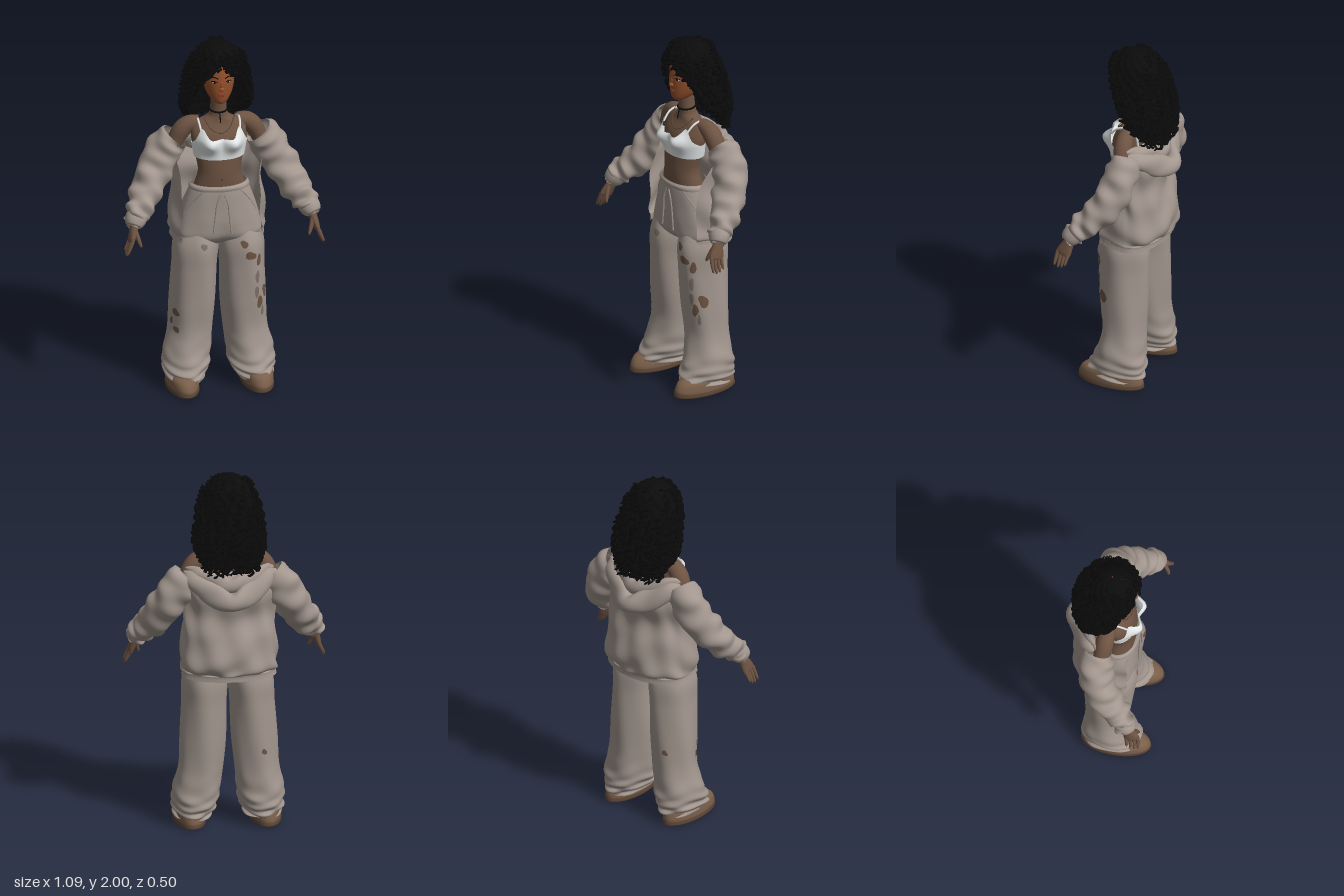
import * as THREE from 'three';
import { mergeGeometries } from 'three/addons/utils/BufferGeometryUtils.js';

const { sin, cos, PI, min, max, floor, abs, exp } = Math;
const V = (x, y, z) => new THREE.Vector3(x, y, z);
const mat = (name, color) => {
  const m = new THREE.MeshStandardMaterial({ color, side: THREE.DoubleSide });
  m.name = name;
  return m;
};

// Smooth interpolation through rows of numbers
function sample(keys, v) {
  const n = keys.length - 1, s = min(max(v, 0), 1) * n, i = min(floor(s), n - 1), t = s - i;
  const [a, b, c, d] = [keys[max(i - 1, 0)], keys[i], keys[i + 1], keys[min(i + 2, n)]];
  return b.map((q, k) => q + 0.5 * t * (c[k] - a[k] + t * (2 * a[k] - 5 * q + 4 * c[k] - d[k]
    + t * (3 * (q - c[k]) + d[k] - a[k]))));
}

// Surface from a rule fn(u, v) -> Vector3, optionally closed around u
function surface(fn, nu, nv, closed = true) {
  const pos = [], idx = [], w = closed ? nu : nu + 1;
  for (let j = 0; j <= nv; j++) for (let i = 0; i < w; i++) pos.push(...fn(i / nu, j / nv).toArray());
  for (let j = 0; j < nv; j++) for (let i = 0; i < nu; i++) {
    const a = j * w + i, b = j * w + (i + 1) % w;
    idx.push(a, b, a + w, b, b + w, a + w);
  }
  const g = new THREE.BufferGeometry();
  g.setAttribute('position', new THREE.Float32BufferAttribute(pos, 3));
  g.setIndex(idx);
  g.computeVertexNormals();
  return g;
}

// Rule for elliptical rings along rows of [x, y, z, radiusA, radiusB]
function rings(keys, { upright = false, folds = () => 0 } = {}) {
  return (u, v, off = 0) => {
    const [x, y, z, ra, rb] = sample(keys, v), a = u * 2 * PI;
    const p = sample(keys, v - 0.02), q = sample(keys, v + 0.02);
    const T = upright ? V(0, -1, 0) : V(q[0] - p[0], q[1] - p[1], q[2] - p[2]).normalize();
    const A = V(0, 0, 1).cross(T).normalize(), B = T.clone().cross(A), o = off + folds(a, v);
    return V(x, y, z).addScaledVector(A, (ra + o) * cos(a)).addScaledVector(B, (rb + o) * sin(a));
  };
}
const mirror = (keys, s) => keys.map(([x, ...r]) => [x * s, ...r]);

export function createModel() {
  const root = new THREE.Group();
  root.name = 'figure';
  const M = {
    skin: mat('skin', 0x6d5342), face: mat('warm face skin', 0x94502c), cloth: mat('cloth', 0xa2968e),
    seam: mat('cloth shade', 0x7d7169), white: mat('white top', 0xe6eaea), shoe: mat('shoe brown', 0x7a5f4a),
    sole: mat('sole brown', 0x5c4535), hair: mat('black', 0x0b0b0b), lips: mat('lips', 0x8a3c2c),
  };
  const add = (name, geo, m) => {
    const mesh = new THREE.Mesh(geo, m);
    mesh.name = name;
    root.add(mesh);
    return mesh;
  };
  const ball = (name, m, x, y, z, rx, ry, rz) => {
    const b = add(name, new THREE.SphereGeometry(1, 18, 12), m);
    b.position.set(x, y, z);
    b.scale.set(rx, ry, rz);
    return b;
  };
  const cord = (name, m, pts, r) => add(name, new THREE.TubeGeometry(
    new THREE.CatmullRomCurve3(pts.map(p => V(...p))), 20, r, 6), m);

  // Torso with neck
  const torso = rings([[0, 1.69, .035, .043, .045], [0, 1.6, .025, .047, .046], [0, 1.565, .02, .07, .052],
    [0, 1.53, .02, .14, .06], [0, 1.47, .035, .152, .08], [0, 1.4, .045, .142, .085], [0, 1.33, .055, .126, .08],
    [0, 1.26, .058, .118, .08], [0, 1.18, .05, .14, .085], [0, 1.1, .035, .16, .09]], { upright: true });
  add('torso', surface(torso, 36, 36), M.skin);
  ball('navel', M.sole, 0, 1.235, .137, .005, .01, .004);

  // Head and face
  add('head', surface(rings([[0, 1.937, .03, .004, .004], [0, 1.925, .03, .04, .045], [0, 1.88, .03, .075, .085],
    [0, 1.81, .033, .085, .095], [0, 1.76, .036, .081, .092], [0, 1.715, .045, .066, .08], [0, 1.68, .06, .043, .058],
    [0, 1.665, .068, .022, .032], [0, 1.662, .068, .002, .002]], { upright: true }), 32, 30), M.face);
  ball('nose', M.face, 0, 1.762, .127, .016, .012, .015);
  ball('noseBridge', M.face, 0, 1.785, .122, .009, .028, .011);
  ball('upperLip', M.lips, 0, 1.731, .121, .022, .006, .01);
  ball('lowerLip', M.lips, 0, 1.721, .119, .019, .007, .011);
  for (const s of [-1, 1]) {
    ball('eye', M.white, s * .037, 1.8, .113, .013, .005, .007).rotation.y = s * .35;
    ball('iris', M.hair, s * .037, 1.8, .118, .007, .006, .004).rotation.y = s * .35;
    cord('eyelid', M.hair, [[s * .02, 1.802, .123], [s * .037, 1.808, .12], [s * .055, 1.804, .107]], .0025);
    cord('eyebrow', M.hair, [[s * .018, 1.823, .126], [s * .04, 1.832, .117], [s * .06, 1.823, .101]], .003);
  }

  // Hair: an inner mass open at the face, with coiled curls over it
  const hairKeys = [[.004, 1.997, 0, .004, .004, 0], [0, 1.987, 0, .055, .06, 0], [0, 1.94, 0, .108, .112, 0],
    [0, 1.875, -.005, .135, .132, 8], [0, 1.8, -.02, .156, .142, 36], [0, 1.7, -.045, .172, .138, 48],
    [0, 1.61, -.065, .17, .122, 64], [0, 1.52, -.1, .13, .085, 92]];
  const hairAt = (u, v, off) => {
    const [x, y, z, rx, rz, gap] = sample(hairKeys, v), g = gap * PI / 180;
    const a = PI / 2 + g + u * 2 * (PI - g);
    return V(x + (rx + off) * cos(a), y - max(v - 1, 0) * .5, z + (rz + off) * sin(a));
  };
  add('hairMass', surface((u, v) => hairAt(u, v, .006 * sin(u * 80) * sin(v * 40)), 72, 36, false), M.hair);
  let seed = 7;
  const rnd = () => (seed = (seed * 16807) % 2147483647) / 2147483647;
  const curls = [];
  for (let i = 0; i < 400; i++) {
    const u = rnd(), v = .08 + .85 * Math.sqrt(rnd()), len = .1 + rnd() * .1, ph = rnd() * 6, lift = .002 + rnd() * .02;
    const pts = [];
    for (let k = 0; k <= 14; k++) {
      const t = k / 14, w = ph + t * 15;
      pts.push(hairAt(u, v + t * len, lift).add(V(.012 * cos(w), .004 * sin(w * 2), .012 * sin(w))));
    }
    curls.push(new THREE.TubeGeometry(new THREE.CatmullRomCurve3(pts), 16, .004 + rnd() * .004, 4));
  }
  add('curls', mergeGeometries(curls), M.hair);

  // Cropped top: a shaped wrap with a dipping neckline, plus straps
  add('croppedTop', surface((u, v) => {
    const a = u * 2 * PI, c = abs(cos(a)), f = max(sin(a), 0);
    const y0 = 1.43 + f * (.045 + .085 * exp(-(((c - .68) / .18) ** 2))), y = y0 + (1.35 - y0) * v;
    const bump = .055 * f * exp(-(((c - .45) / .32) ** 2) - (((y - 1.445) / .05) ** 2));
    const narrow = max(y - 1.46, 0) * .28;
    return V((.153 - max(1.43 - y, 0) * .18 + bump * .4) * cos(a), y, .045 + (.094 - narrow + bump) * sin(a));
  }, 72, 24), M.white);
  for (const s of [-1, 1]) cord('topStrap', M.white,
    [[s * .105, 1.5, .105], [s * .112, 1.545, .06], [s * .112, 1.555, .01], [s * .105, 1.52, -.04], [s * .09, 1.42, -.05]], .006);

  // Choker, chain and pendant
  const choker = add('choker', new THREE.TorusGeometry(.049, .005, 6, 32), M.hair);
  choker.position.set(0, 1.612, .026);
  choker.rotation.x = PI / 2 + .15;
  cord('chain', M.sole, [[-.085, 1.57, .045], [-.05, 1.515, .09], [0, 1.495, .11], [.05, 1.515, .09], [.085, 1.57, .045]], .0025);
  cord('pendant', M.hair, [[0, 1.605, .077], [0, 1.58, .082], [0, 1.55, .09]], .003);

  // Trousers: hips with a centre crease, waistband, drawstrings and pockets
  const hips = rings([[0, 1.195, .045, .148, .098], [0, 1.15, .04, .168, .108], [0, 1.06, .025, .2, .124],
    [0, .96, .018, .228, .132], [0, .89, .015, .235, .13], [0, .84, .015, .17, .09]],
  { upright: true, folds: (a, v) => .003 * sin(9 * a + 5 * v) * v + .016 * v * sin(2 * a) ** 2
    - .05 * max(v - .55, 0) * sin(a) ** 12 });
  add('trouserHips', surface(hips, 64, 24), M.cloth);
  add('waistband', surface((u, v) => hips(u, .01 + v * .14, .004 + .006 * sin(v * PI)), 48, 6), M.cloth);
  for (const s of [-1, 1]) {
    cord('drawstring', M.cloth, [[s * .012, 1.15, .156], [s * .03, 1.1, .157], [s * .038, 1.03, .154], [s * .05, .92, .154]], .005);
    cord('pocketSeam', M.cloth, [.12, .22, .32, .44].map((v, i) => hips(.25 - s * (.11 + i * .025), v + .04).toArray()), .0035);
  }

  // Wide legs with torn patches, and shoes
  const legKeys = [[.115, 1, .015, .07, .08], [.124, .85, .015, .121, .138], [.131, .7, .013, .122, .139],
    [.14, .5, .008, .126, .13], [.152, .33, .004, .122, .12], [.174, .2, .012, .13, .136],
    [.18, .13, .022, .126, .155], [.188, .085, .032, .112, .162], [.19, .05, .03, .095, .15]];
  const legFolds = (a, v) => .003 * sin(5 * a + 9 * v) + (v > .5 ? (v - .5) * 2 : 0)
    * (.008 * sin(v * 52 + 2.6 * sin(a * 2 + 1)) + .006 * sin(a * 3 + v * 34));
  const rips = {
    1: [[.255, .125, .028, .016], [.215, .185, .035, .022], [.15, .215, .022, .026], [.1, .345, .035, .02], [.16, .38, .022, .024]],
    '-1': [[.4, .41, .035, .014], [.385, .485, .028, .014], [.44, .45, .018, .014], [.7, .42, .018, .012]],
  };
  const worn = { 1: [[.17, .285, .016, .024], [.18, .34, .014, .024], [.14, .42, .014, .02]], '-1': [[.22, .125, .022, .016]] };
  for (const s of [1, -1]) {
    const leg = rings(mirror(legKeys, s), { upright: true, folds: legFolds });
    add('trouserLeg', surface(leg, 44, 76), M.cloth);
    const patch = (name, m, [u, v, w, h], off) => add(name, surface((t, r) => {
      const a = t * 2 * PI, q = (1 - r) * (1 + .15 * sin(a * 2 + u * 40) + .1 * sin(a * 3 + v * 30));
      return leg(u + w * q * cos(a), v + h * q * sin(a), off);
    }, 24, 4), m);
    rips[s].forEach(r => patch('rip', M.skin, r, .004));
    worn[s].forEach(r => patch('wornPatch', M.seam, r, .003));
    const shoe = [[.2, .13, .0, .06, .09], [.2, .105, .035, .074, .135], [.205, .08, .052, .083, .17],
      [.205, .045, .057, .086, .187], [.205, .025, .057, .085, .188]];
    add('shoe', surface(rings(mirror(shoe, s), { upright: true }), 36, 16), M.shoe);
    add('sole', surface(rings(mirror([[.205, .03, .057, .086, .189], [.205, .018, .057, .088, .192],
      [.205, .004, .057, .084, .185], [.205, .001, .057, .04, .1], [.205, 0, .057, .001, .001]], s), { upright: true }), 36, 12), M.sole);
  }

  // Bare shoulders, sleeves, cuffs and hands
  const armKeys = [[.1, 1.53, .005, .035, .04], [.155, 1.52, -.002, .046, .046], [.195, 1.485, -.008, .05, .05],
    [.23, 1.42, -.015, .045, .046], [.28, 1.32, -.015, .04, .045]];
  const sleeveKeys = [[.228, 1.44, -.035, .078, .075], [.262, 1.4, -.04, .096, .088], [.305, 1.33, -.035, .098, .092],
    [.35, 1.25, -.01, .095, .092], [.395, 1.17, .04, .088, .086], [.435, 1.11, .095, .077, .074],
    [.465, 1.07, .135, .064, .062], [.483, 1.04, .16, .05, .05]];
  const palmKeys = [[.477, 1.05, .155, .024, .026], [.492, 1, .175, .023, .032], [.506, .955, .192, .019, .042],
    [.512, .933, .2, .014, .039], [.514, .926, .202, .002, .01]];
  const sleeveFolds = (a, v) => (.003 + .006 * v) * (sin(2 * a + v * 32) + .7 * sin(a - v * 41))
    + .004 * sin(3 * a + v * 15);
  for (const s of [1, -1]) {
    add('upperArm', surface(rings(mirror(armKeys, s)), 24, 16), M.skin);
    add('sleeve', surface(rings(mirror(sleeveKeys, s), { folds: sleeveFolds }), 36, 56), M.cloth);
    add('cuff', surface(rings(mirror([[.47, 1.062, .146, .06, .058], [.483, 1.04, .162, .057, .055], [.493, 1.02, .176, .045, .045],
      [.494, 1.018, .177, .035, .035]], s)), 32, 8), M.cloth);
    add('palm', surface(rings(mirror(palmKeys, s)), 20, 14), M.skin);
    for (let i = 0; i < 4; i++) {
      const z = .166 + i * .021, l = [.062, .076, .08, .07][i];
      add('finger', surface(rings(mirror([[.508, .95, z, .012, .011], [.522, .95 - l * .5, z + .005, .011, .01],
        [.538, .95 - l, z + .008, .008, .007], [.543, .94 - l, z + .008, .001, .001]], s)), 10, 10), M.skin);
    }
    add('thumb', surface(rings(mirror([[.488, .995, .195, .014, .013], [.475, .955, .216, .012, .011],
      [.463, .92, .228, .008, .008], [.459, .91, .23, .001, .001]], s)), 10, 10), M.skin);
  }

  // Open jacket body: rows of [half width, y, centre z, back depth, front depth, front edge angle]
  const jacketKeys = [[.235, 1.475, -.03, .08, .06, 0], [.25, 1.41, -.035, .13, .12, 8], [.25, 1.32, -.04, .138, .2, 22],
    [.246, 1.21, -.04, .115, .27, 30], [.252, 1.1, -.04, .145, .3, 32], [.262, .99, -.04, .168, .3, 32],
    [.262, .92, -.04, .162, .3, 32], [.252, .895, -.04, .146, .295, 32], [.257, .865, -.04, .145, .295, 32]];
  add('jacketBody', surface((u, v) => {
    const [w, y, z, back, front, edge] = sample(jacketKeys, v), e = edge * PI / 180;
    const a = -PI - e + u * (PI + 2 * e), sn = sin(a);
    const o = v < .85 ? .006 * sin(v * 24 + 3 * sin(a * 2)) + .005 * sin(a * 9 + v * 10) : .002 * sin(a * 60);
    return V((w + o) * cos(a), y, z + ((sn < 0 ? back : front) + o) * sn);
  }, 90, 50, false), M.cloth);

  // Hood lying down the back in two folds
  const hoodFolds = (a, v) => .004 * sin(2 * a + v * 22);
  add('hoodOuter', surface(rings([[-.24, 1.46, -.05, .012, .02], [-.2, 1.43, -.1, .05, .035], [-.1, 1.365, -.165, .06, .035],
    [0, 1.33, -.205, .052, .045], [.1, 1.365, -.165, .06, .035], [.2, 1.43, -.1, .05, .035], [.24, 1.46, -.05, .012, .02]],
  { folds: hoodFolds }), 24, 48), M.cloth);
  add('hoodInner', surface(rings([[-.23, 1.48, -.04, .01, .015], [-.17, 1.465, -.09, .035, .025], [-.08, 1.43, -.13, .045, .035],
    [0, 1.41, -.15, .045, .035], [.08, 1.43, -.13, .045, .035], [.17, 1.465, -.09, .035, .025], [.23, 1.48, -.04, .01, .015]],
  { folds: hoodFolds }), 24, 44), M.cloth);

  return root;
}
